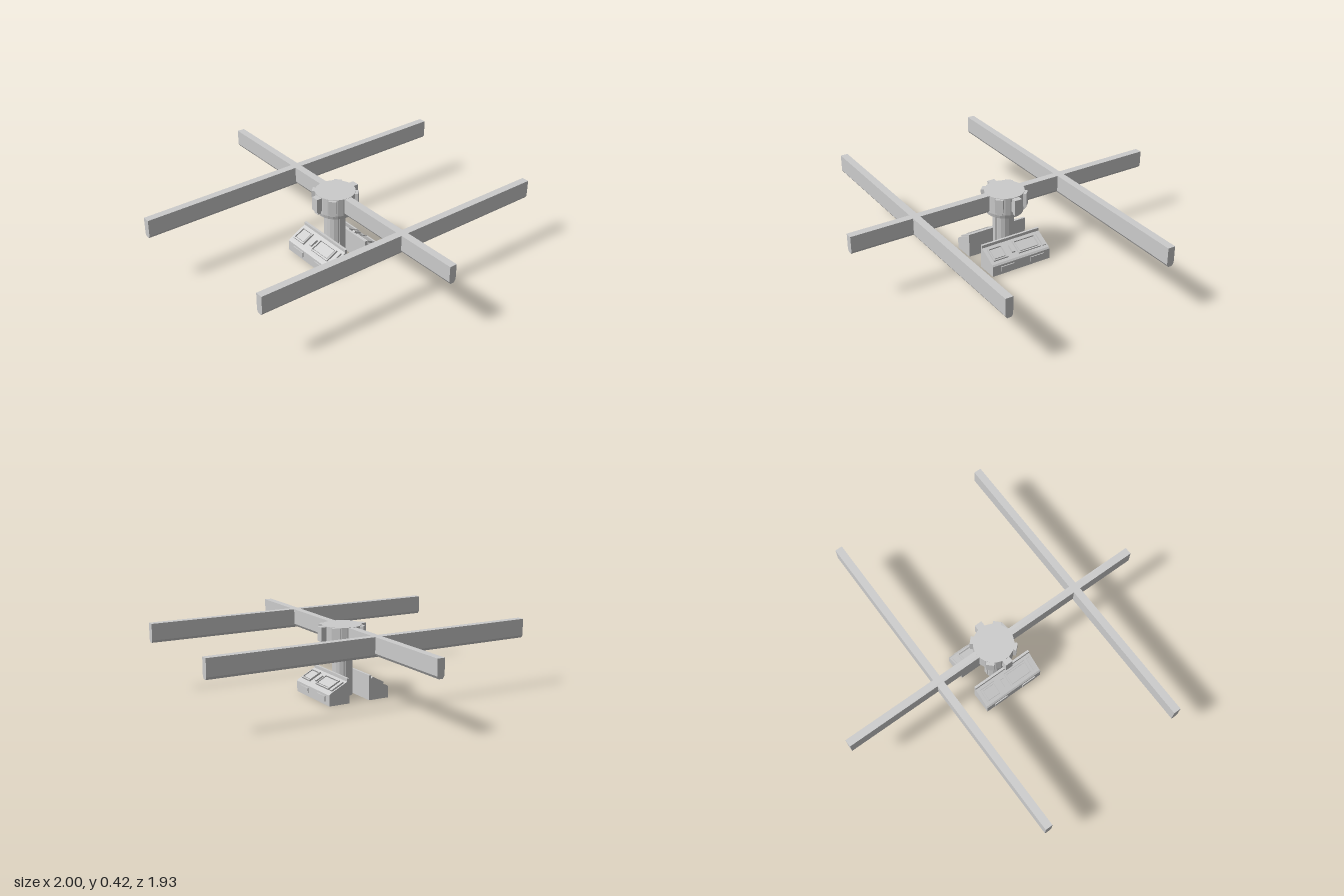
import * as THREE from 'three';

const mat = new THREE.MeshStandardMaterial({ color: 0xcccccc, flatShading: true });

function add(parent, name, geo, x = 0, y = 0, z = 0) {
  const mesh = new THREE.Mesh(geo, mat);
  mesh.name = name;
  mesh.position.set(x, y, z);
  parent.add(mesh);
  return mesh;
}
const box = (w, h, d) => new THREE.BoxGeometry(w, h, d);

// Extrudes an outline of [x, y] points along z, centred
function prism(points, length) {
  const shape = new THREE.Shape(points.map(([x, y]) => new THREE.Vector2(x, y)));
  const geo = new THREE.ExtrudeGeometry(shape, { depth: length, bevelEnabled: false });
  return geo.translate(0, 0, -length / 2);
}

// Beam with a flat top and a chamfered underside
function beam(length, bottom) {
  const w = 0.022, top = 0.416;
  return prism([[-0.012, bottom], [0.012, bottom], [w, bottom + 0.015],
    [w, top], [-w, top], [-w, bottom + 0.015]], length);
}

// Wedge-shaped foot with a detailed sloping panel, facing +x
function makeFoot() {
  const foot = new THREE.Group();
  foot.name = 'foot';
  const length = 0.385;
  add(foot, 'footBody', prism([[0.065, 0], [0.194, 0], [0.194, 0.063], [0.186, 0.072],
    [0.079, 0.128], [0.079, 0.146], [0.065, 0.146]], length));

  // Raised frames and blocks lying on the slope
  const slope = new THREE.Group();
  slope.name = 'slopePanel';
  slope.position.set(0.133, 0.1, 0);
  slope.rotation.z = -Math.atan2(0.056, 0.107);
  foot.add(slope);
  const frame = (z, w, d) => {
    for (const s of [-1, 1]) {
      add(slope, 'frameRail', box(0.007, 0.014, d), s * (w - 0.007) / 2, 0.004, z);
      add(slope, 'frameEnd', box(w, 0.014, 0.007), 0, 0.004, z + s * (d - 0.007) / 2);
    }
    add(slope, 'framePanel', box(w - 0.025, 0.01, d - 0.025), 0, 0.003, z);
  };
  frame(0.125, 0.085, 0.095);
  frame(-0.07, 0.085, 0.15);
  add(slope, 'latch', box(0.05, 0.016, 0.02), 0, 0.004, 0.03);
  add(slope, 'endBlock', box(0.085, 0.012, 0.024), 0, 0.003, -0.17);

  // Shallow pads on the outer wall
  for (const z of [-0.105, 0.095]) add(foot, 'sidePad', box(0.012, 0.03, 0.09), 0.194, 0.035, z);
  return foot;
}

export function createModel() {
  const model = new THREE.Group();
  model.name = 'crossBeamStand';

  // Spine and the two cross beams
  add(model, 'spineBeam', beam(1.935, 0.31));
  const rear = add(model, 'rearCrossBeam', beam(2, 0.303), 0, 0, -0.37);
  const front = add(model, 'frontCrossBeam', beam(1.85, 0.303), 0.016, 0, 0.577);
  rear.rotation.y = front.rotation.y = Math.PI / 2;

  // Hub on top of the column
  const hub = new THREE.Group();
  hub.name = 'hub';
  hub.position.set(0, 0, 0.005);
  model.add(hub);
  add(hub, 'hubDrum', new THREE.CylinderGeometry(0.116, 0.116, 0.106, 24), 0, 0.364, 0);
  add(hub, 'hubFlange', new THREE.CylinderGeometry(0.114, 0.108, 0.024, 24), 0, 0.3, 0);
  for (let i = 0; i < 8; i++) {
    if (i % 4 === 2) continue; // the spine passes here
    const arm = new THREE.Group();
    arm.name = 'hubLug';
    arm.rotation.y = i * Math.PI / 4;
    hub.add(arm);
    const reach = i % 4 === 0 ? 0.147 : 0.132;
    add(arm, 'lugBlock', box(reach - 0.09, 0.082, 0.046), (reach + 0.09) / 2, 0.373, 0);
    add(arm, 'lugFoot', box(reach - 0.1, 0.022, 0.03), (reach + 0.09) / 2 - 0.005, 0.323, 0);
  }

  // Column with a raised strip on its front and back
  const base = new THREE.Group();
  base.name = 'base';
  base.position.set(-0.004, 0, 0.009);
  model.add(base);
  add(base, 'column', new THREE.CylinderGeometry(0.06, 0.06, 0.29, 16), 0, 0.147, 0);
  for (const s of [-1, 1]) add(base, 'columnStrip', box(0.03, 0.25, 0.01), 0, 0.145, s * 0.058);

  // Two feet, each the other turned half way round
  for (const turn of [0, Math.PI]) {
    const foot = makeFoot();
    foot.rotation.y = turn;
    base.add(foot);
  }
  return model;
}
